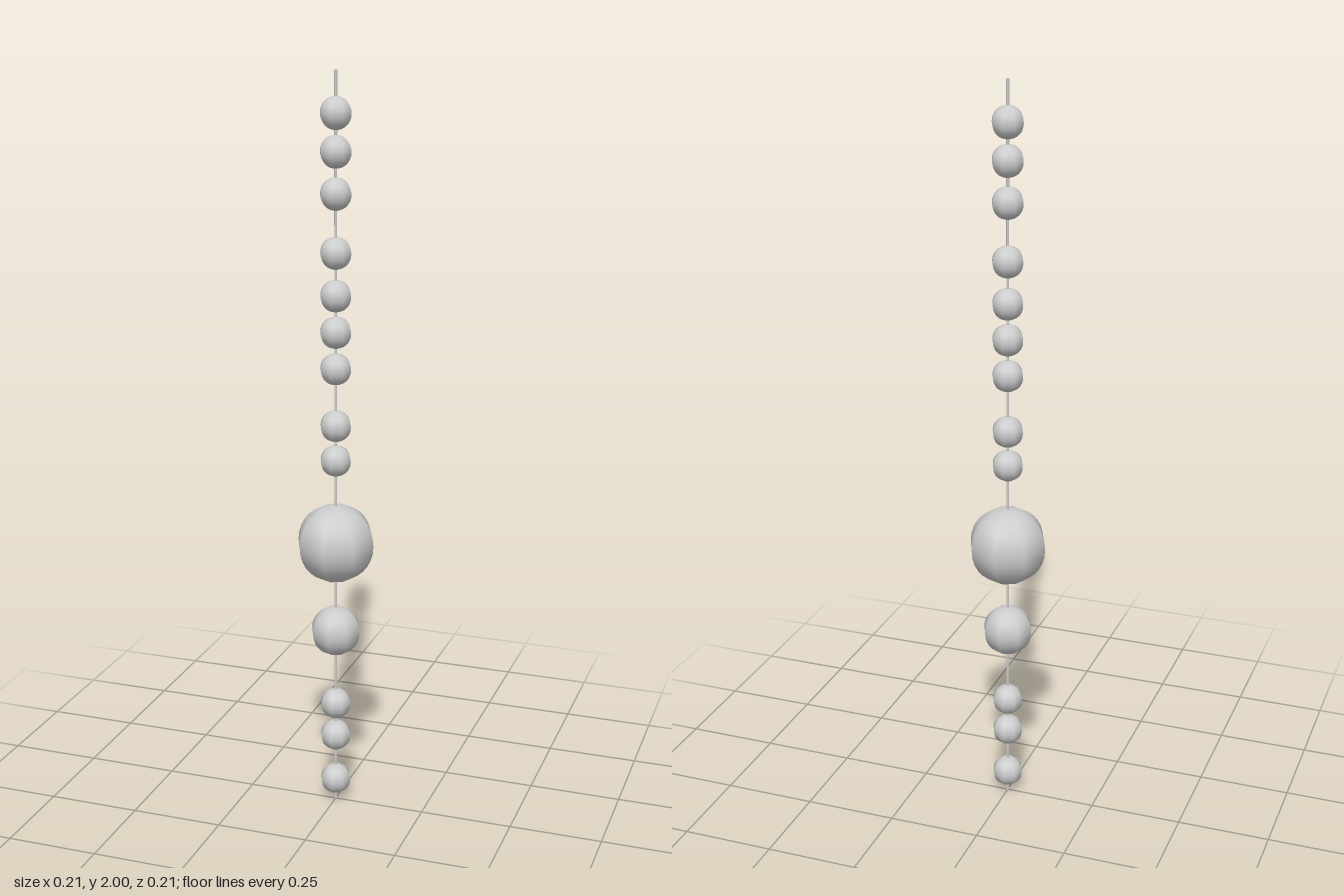
import * as THREE from 'three';

export function createModel() {
  const model = new THREE.Group();
  const material = new THREE.MeshStandardMaterial({ color: 0xcccccc });

  function add(name, geometry, y) {
    const mesh = new THREE.Mesh(geometry, material);
    mesh.name = name;
    mesh.position.y = y;
    model.add(mesh);
  }

  // Thin cord running the full height
  add('cord', new THREE.CylinderGeometry(0.004, 0.004, 2, 8), 1);

  // Eight-sided beads with finely divided profiles
  const bead = (radius) => new THREE.SphereGeometry(radius, 8, 16);

  // Small beads, in uneven clusters along the cord
  const smallBead = bead(0.042);
  const heights = [0.063, 0.196, 0.291, 0.988, 1.083, 1.237, 1.334, 1.43, 1.541, 1.692, 1.798, 1.894];
  heights.forEach((y, i) => add(`smallBead${i + 1}`, smallBead, y));

  // Two larger feature beads
  add('mediumBead', bead(0.068), 0.506);
  add('largeBead', bead(0.106), 0.758);

  return model;
}
